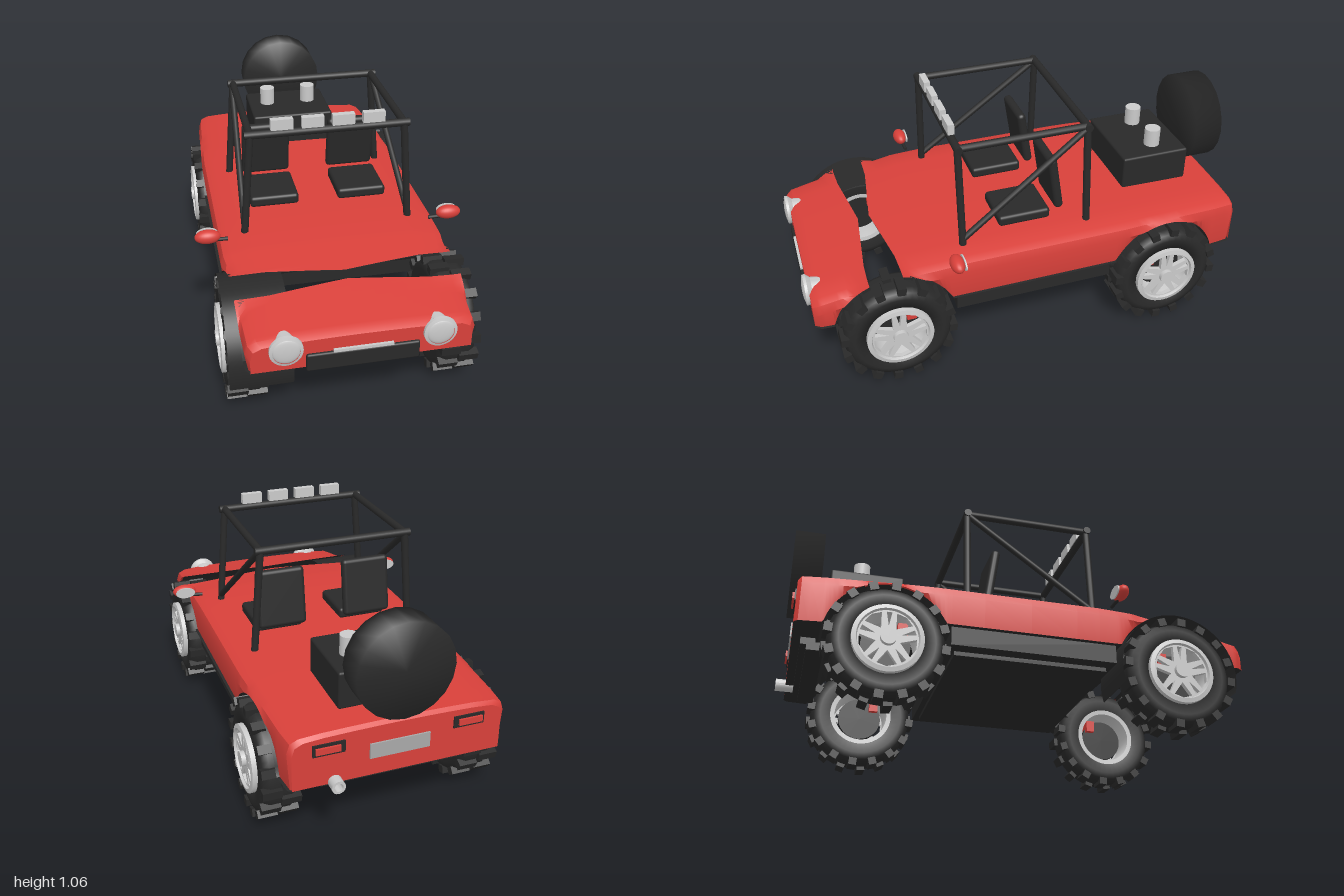
import * as THREE from 'three';
import { toCreasedNormals } from 'three/addons/utils/BufferGeometryUtils.js';
import { RoundedBoxGeometry } from 'three/addons/geometries/RoundedBoxGeometry.js';

const paint = (name, color, side = THREE.FrontSide) => {
  const m = new THREE.MeshStandardMaterial({ color, side });
  m.name = name;
  return m;
};
const red = paint('red paint', 0xd8403a);
const black = paint('black', 0x292929, THREE.DoubleSide);
const silver = paint('silver', 0xcacaca);
const grey = paint('plate grey', 0xa8a8a8);

const FRONT = 0.64, REAR = -0.595, AXLE = 0.25;

// Piecewise linear lookup in [z, value] pairs
function lookup(table, z) {
  for (let i = 1; i < table.length; i++) {
    const [z0, v0] = table[i - 1], [z1, v1] = table[i];
    if (z <= z1) return v0 + (v1 - v0) * Math.max(0, (z - z0) / (z1 - z0));
  }
  return table[table.length - 1][1];
}
const topY = z => lookup([[-0.955, 0.53], [-0.94, 0.543], [-0.5, 0.552], [0.3, 0.552], [0.45, 0.545],
  [0.65, 0.521], [0.7, 0.514], [0.95, 0.465], [0.975, 0.45]], z);
const halfW = z => lookup([[-0.955, 0.435], [-0.94, 0.45], [-0.85, 0.46], [-0.4, 0.482], [0.45, 0.482],
  [0.62, 0.462], [0.75, 0.462], [0.95, 0.452], [0.975, 0.435]], z);
const arch = (z, c, r) => 0.255 + Math.sqrt(Math.max(0, r * r - (z - c) ** 2));
function bottomY(z) {
  const base = z < REAR ? 0.315 : z > FRONT ? 0.325 : 0.36;
  const a = Math.abs(z - REAR) < 0.257 ? arch(z, REAR, 0.257) : 0;
  const b = Math.abs(z - FRONT) < 0.265 ? arch(z, FRONT, 0.265) : 0;
  return Math.max(base, a, b);
}

// Surface through rows of points
function loft(rows) {
  const pos = [];
  for (let i = 0; i + 1 < rows.length; i++) for (let j = 0; j + 1 < rows[i].length; j++) {
    const a = rows[i][j], b = rows[i][j + 1], c = rows[i + 1][j + 1], d = rows[i + 1][j];
    for (const p of [a, b, c, a, c, d]) pos.push(...p);
  }
  const g = new THREE.BufferGeometry();
  g.setAttribute('position', new THREE.Float32BufferAttribute(pos, 3));
  g.computeVertexNormals();
  return toCreasedNormals(g, 0.6);
}

// Body cross-section: [inset from the side, drop below the top]
const half = [[0.012, 1], [0, 0.065], [0.012, 0.028], [0.045, 0.012]];
function section(z, limit) {
  const w = halfW(z), pts = half.map(([inset, drop]) => [w - inset, drop]);
  for (const f of [0.7, 0.45, 0.2]) pts.push([w * f, 0.011 * f * f]);
  const all = [...pts, [0, 0], ...pts.slice().reverse().map(([x, d]) => [-x, d])];
  return all.map(([x, d]) => {
    const zz = limit(z, Math.abs(x));
    return [x, Math.max(bottomY(zz), topY(zz) - d), zz];
  });
}
const drop = row => row.map(([x, , z]) => [x, bottomY(z), z]);
const archStations = (c, r) => Array.from({ length: 25 }, (_, i) => c - r * Math.cos(i / 24 * Math.PI));

function tube(a, b, r = 0.016) {
  const A = new THREE.Vector3(...a), B = new THREE.Vector3(...b), d = B.clone().sub(A);
  const g = new THREE.CylinderGeometry(r, r, d.length(), 12);
  g.applyQuaternion(new THREE.Quaternion().setFromUnitVectors(new THREE.Vector3(0, 1, 0), d.normalize()));
  return g.translate(...A.add(B).multiplyScalar(0.5).toArray());
}

export function createModel() {
  const car = new THREE.Group();
  const add = (geo, mat, name, x = 0, y = 0, z = 0, parent = car) => {
    const m = new THREE.Mesh(geo, mat);
    m.name = name;
    m.position.set(x, y, z);
    parent.add(m);
    return m;
  };
  const box = (w, h, d) => new THREE.BoxGeometry(w, h, d);

  // Body shells: main tub and nose, parted by the front wheel arch
  function shell(name, stations, limit, capRear, capFront) {
    const rows = stations.sort((a, b) => a - b).map(z => section(z, limit));
    add(loft(rows), red, name);
    add(loft(rows.map(r => drop(r).reverse())), black, name + 'Underside');
    const first = rows[0], last = rows[rows.length - 1];
    if (capRear) add(loft([drop(first), first]), red, name + 'RearPanel');
    if (capFront) add(loft([last, drop(last)]), red, name + 'FrontPanel');
  }
  const frontArch = archStations(FRONT, 0.265);
  shell('mainBody', [-0.955, -0.94, -0.9, ...archStations(REAR, 0.257), -0.2, 0, 0.2, 0.3,
    ...frontArch.filter(z => z < 0.645), 0.59, 0.62, 0.65],
  (z, x) => Math.min(z, 0.65 - 0.05 * Math.min(1, x / 0.35)), true, false);
  shell('nose', [0.7, 0.72, 0.74, ...frontArch.filter(z => z > 0.7), 0.93, 0.95, 0.975],
    (z, x) => Math.max(z, 0.7 + 0.04 * Math.min(1, x / 0.35)), false, true);

  // Floor, sills and rear bumper
  add(box(0.92, 0.085, 0.71), black, 'floor', 0, 0.323, 0.02);
  add(box(0.8, 0.025, 0.66), black, 'skidPlate', 0, 0.275, 0.02);
  add(box(0.6, 0.035, 0.07), black, 'rearBumper', 0, 0.28, -0.86);
  add(box(0.6, 0.04, 0.06), black, 'bumperMount', 0, 0.305, -0.89);

  // Inner wheel arch liner on the right front side
  const liner = new THREE.CylinderGeometry(0.259, 0.259, 0.255, 40, 1, true, -0.29, Math.PI + 0.58);
  add(liner.rotateZ(Math.PI / 2), black, 'archLiner', -0.382, 0.255, FRONT);

  // Wheels
  const tireProfile = [[0.138, -0.07], [0.19, -0.08], [0.218, -0.07], [0.232, -0.045], [0.232, 0.045],
    [0.218, 0.07], [0.19, 0.08], [0.138, 0.07], [0.138, -0.07]].map(p => new THREE.Vector2(...p));
  const tireGeo = new THREE.LatheGeometry(tireProfile, 40).rotateZ(-Math.PI / 2);
  const barrel = [[0.122, -0.07], [0.143, -0.072], [0.143, 0.092], [0.125, 0.096], [0.118, 0.08], [0.122, -0.07]];
  const barrelGeo = toCreasedNormals(new THREE.LatheGeometry(barrel.map(p => new THREE.Vector2(...p)), 40)
    .rotateZ(-Math.PI / 2), 0.5);
  const face = new THREE.Shape().absarc(0, 0, 0.13, 0, Math.PI * 2, false);
  const polar = (r, a) => new THREE.Vector2(r * Math.cos(a), r * Math.sin(a));
  for (let i = 0; i < 5; i++) {
    const a = Math.PI / 2 + i * Math.PI * 0.4, b = a + Math.PI * 0.2;
    face.holes.push(new THREE.Path([polar(0.05, b), polar(0.113, b - 0.36), polar(0.118, b), polar(0.113, b + 0.36)]));
    face.holes.push(new THREE.Path([polar(0.052, a), polar(0.113, a - 0.1), polar(0.113, a + 0.1)]));
  }
  const faceGeo = new THREE.ExtrudeGeometry(face, { depth: 0.02, bevelEnabled: false, curveSegments: 32 })
    .rotateY(Math.PI / 2);
  const disc = (r, h, n = 24) => new THREE.CylinderGeometry(r, r, h, n).rotateZ(-Math.PI / 2);
  const lugGeo = box(0.082, 0.034, 0.036);
  for (const side of [1, -1]) for (const z of [FRONT, REAR]) {
    const wheel = new THREE.Group();
    wheel.name = (z > 0 ? 'front' : 'rear') + (side > 0 ? 'Left' : 'Right') + 'Wheel';
    wheel.position.set(side * 0.432, AXLE, z);
    if (side < 0) wheel.rotation.y = Math.PI;
    car.add(wheel);
    add(tireGeo, black, 'tire', 0, 0, 0, wheel);
    add(barrelGeo, silver, 'rimBarrel', 0, 0, 0, wheel);
    add(faceGeo, silver, 'rimSpokes', 0.065, 0, 0, wheel);
    add(disc(0.032, 0.04), silver, 'hubCap', 0.084, 0, 0, wheel);
    add(disc(0.1, 0.02), black, 'brakeDisc', 0, 0, 0, wheel);
    for (let i = 0; i < 32; i++) {
      const a = (i + 0.5) / 32 * Math.PI * 2, r = 0.232;
      const lug = add(lugGeo, black, 'treadLug', i % 2 ? 0.042 : -0.038, r * Math.cos(a), r * Math.sin(a), wheel);
      lug.rotation.x = a;
    }
    add(box(0.075, 0.055, 0.04), red, 'brakeCaliper', side * 0.435, 0.315, z - Math.sign(z) * 0.062);
  }

  // Roll cage
  for (const s of [1, -1]) {
    for (const z of [0.315, -0.25]) add(tube([s * 0.362, 0.53, z], [s * 0.325, 0.995, z]), black, 'cagePost');
    add(tube([s * 0.325, 0.995, 0.315], [s * 0.325, 0.995, -0.25]), black, 'cageRail');
    add(tube([s * 0.36, 0.57, 0.31], [s * 0.33, 0.99, -0.25], 0.014), black, 'cageBrace');
  }
  for (const z of [0.315, -0.25]) add(tube([-0.348, 0.995, z], [0.348, 0.995, z], 0.017), black, 'cageCrossbar');
  for (let i = 0; i < 4; i++) add(box(0.093, 0.046, 0.028), silver, 'roofLamp', -0.193 + i * 0.1287, 1.035, 0.315);

  for (const s of [1, -1]) {
    // Seats
    add(new RoundedBoxGeometry(0.22, 0.05, 0.235, 3, 0.015), black, 'seatCushion', s * 0.2, 0.573, 0.017);
    const back = add(new RoundedBoxGeometry(0.22, 0.26, 0.04, 3, 0.018), black, 'seatBack', s * 0.2, 0.716, -0.126);
    back.rotation.x = 0.15;

    // Mirrors
    add(new THREE.SphereGeometry(0.055, 24, 16).scale(1, 0.55, 0.55), red, 'mirrorShell', s * 0.525, 0.58, 0.385);
    const glass = new THREE.CylinderGeometry(0.046, 0.046, 0.006, 24).rotateX(Math.PI / 2).scale(1, 0.55, 1);
    add(glass, silver, 'mirrorGlass', s * 0.525, 0.58, 0.357);
    add(tube([s * 0.44, 0.555, 0.375], [s * 0.52, 0.56, 0.38], 0.008), black, 'mirrorArm');

    // Headlights
    const lamp = [[0, -0.07], [0.045, -0.07], [0.05, -0.03], [0.066, -0.012], [0.066, 0], [0.054, 0.004]];
    const lampGeo = new THREE.LatheGeometry(lamp.map(p => new THREE.Vector2(...p)), 32).rotateX(Math.PI / 2);
    add(toCreasedNormals(lampGeo, 0.5), silver, 'headlightHousing', s * 0.3, 0.422, 0.99);
    const lens = new THREE.SphereGeometry(0.055, 24, 12).scale(1, 1, 0.2);
    add(lens, silver, 'headlightLens', s * 0.3, 0.422, 0.989);

    // Tail lamps and carburettor stacks
    add(box(0.13, 0.05, 0.008), black, 'tailLampRecess', s * 0.29, 0.475, -0.957);
    add(box(0.1, 0.026, 0.02), red, 'tailLamp', s * 0.295, 0.475, -0.96);
    add(new THREE.CylinderGeometry(0.036, 0.036, 0.09, 24), silver, 'intakeStack', s * 0.105, 0.738, -0.68);
  }

  // Front grille and trim
  add(new RoundedBoxGeometry(0.445, 0.078, 0.03, 2, 0.008), black, 'frontGrille', 0, 0.348, 0.972);
  add(box(0.235, 0.012, 0.012), silver, 'grilleTrim', 0, 0.391, 0.98);

  // Engine cover, spare wheel cover, plate and exhaust
  add(new RoundedBoxGeometry(0.4, 0.16, 0.32, 2, 0.01), black, 'engineCover', 0, 0.62, -0.66);
  const cover = [[0, -0.065], [0.2, -0.065], [0.2, 0.065], [0, 0.065]].map(p => new THREE.Vector2(...p));
  add(new THREE.LatheGeometry(cover, 20).rotateX(Math.PI / 2), black, 'spareWheelCover', 0, 0.757, -0.92);
  add(box(0.25, 0.065, 0.008), grey, 'rearPlate', 0, 0.425, -0.958);
  const pipe = [[0.018, -0.06], [0.028, -0.06], [0.028, 0.06], [0.018, 0.06], [0.018, -0.06]];
  const pipeGeo = new THREE.LatheGeometry(pipe.map(p => new THREE.Vector2(...p)), 20).rotateX(Math.PI / 2);
  add(toCreasedNormals(pipeGeo, 0.5), silver, 'exhaustPipe', 0.265, 0.322, -0.94);
  return car;
}
